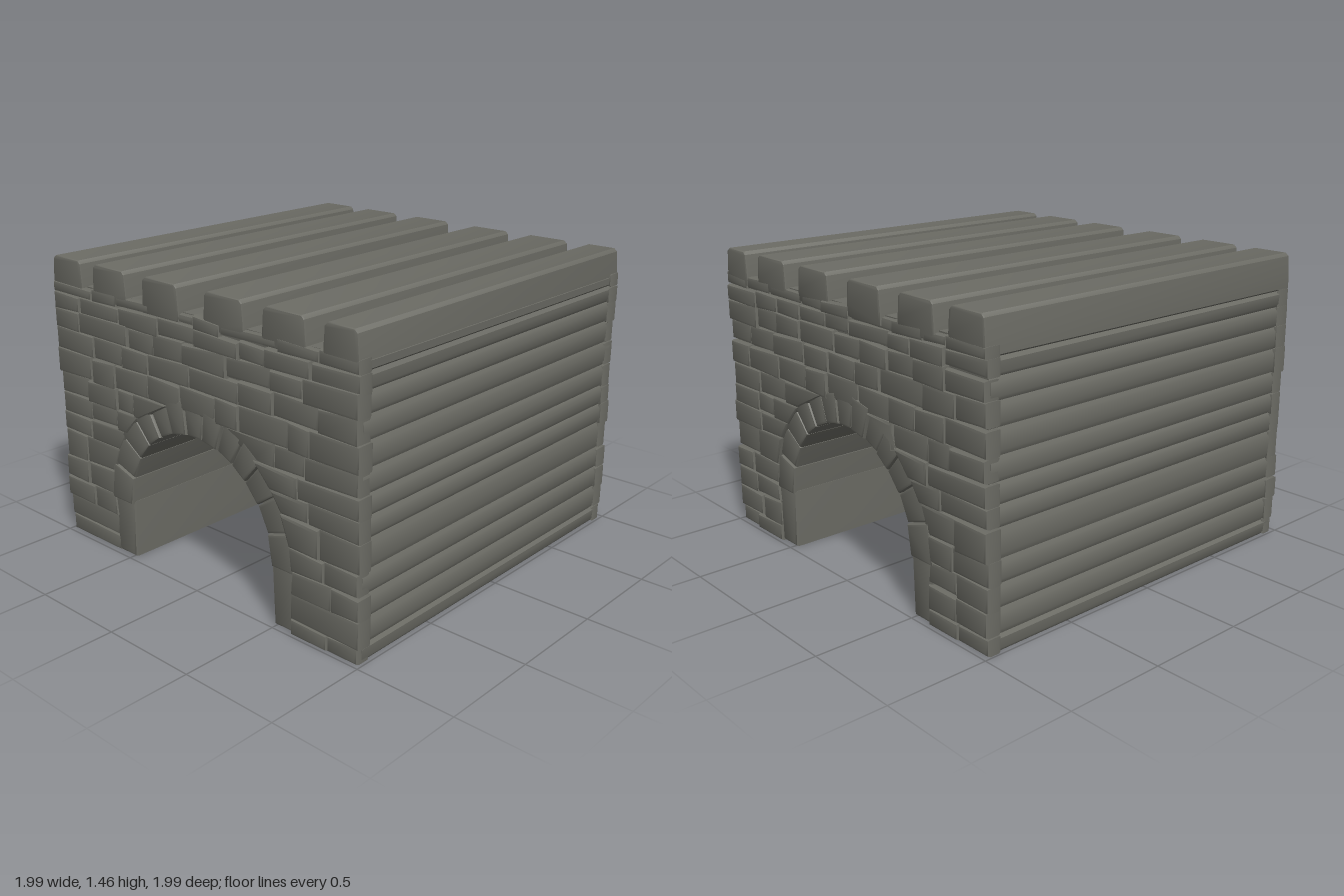
import * as THREE from 'three';
import { toCreasedNormals } from 'three/addons/utils/BufferGeometryUtils.js';

let seed = 11;
const rand = () => (seed = (seed * 16807) % 2147483647) / 2147483647;
const vary = (a) => (rand() - 0.5) * 2 * a;

// Extrude an outline from z0 to z1 with softly worn edges inside the outline
function slab(points, z0, z1, bevel) {
  const shape = new THREE.Shape(points.map(([x, y]) => new THREE.Vector2(x, y)));
  const g = new THREE.ExtrudeGeometry(shape, {
    depth: z1 - z0 - 2 * bevel, steps: 1, curveSegments: 4,
    bevelEnabled: bevel > 0, bevelThickness: bevel, bevelSize: bevel,
    bevelOffset: -bevel, bevelSegments: 2,
  });
  g.translate(0, 0, z0 + bevel);
  return toCreasedNormals(g, 0.7);
}

export function createModel() {
  seed = 11;
  const stone = new THREE.MeshStandardMaterial({ color: 0x6b6b64 });
  stone.name = 'grey stone';
  const model = new THREE.Group();
  model.name = 'stoneGateway';
  const add = (parent, name, geometry) => {
    const m = new THREE.Mesh(geometry, stone);
    m.name = name;
    parent.add(m);
    return m;
  };
  const group = (name) => {
    const g = new THREE.Group();
    g.name = name;
    model.add(g);
    return g;
  };

  const courses = [0, 0.08, 0.2, 0.31, 0.42, 0.56, 0.66, 0.76, 0.87, 0.99, 1.1, 1.2, 1.28, 1.335];
  const springY = 0.3, inner = 0.48, outer = 0.63, archY = 0.285;

  // Wall core: long bulging courses outside, arched passage inside
  const side = [];
  for (let i = 0; i < courses.length - 1; i++) {
    const a = courses[i], h = courses[i + 1] - a;
    side.push([0.974, a], [0.985, a + h * 0.2], [0.987, a + h * 0.8]);
  }
  side.push([0.975, 1.335]);
  const arch = [[-0.5, 0]];
  for (let i = 0; i <= 16; i++) {
    const t = Math.PI * (1 - i / 16);
    arch.push([Math.cos(t) * 0.5, archY + Math.sin(t) * 0.5]);
  }
  arch.push([0.5, 0]);
  const mirrored = side.map(([x, y]) => [-x, y]).reverse();
  add(model, 'wallCore', slab([...arch, ...side, ...mirrored], -0.955, 0.955, 0));

  // Arch stones running the full depth of the passage
  const archStones = group('archStones');
  const angles = [0, 18, 34, 48, 60, 72, 84, 96, 108, 120, 132, 146, 162, 180];
  const polar = (r, deg) => {
    const t = THREE.MathUtils.degToRad(deg);
    return [Math.cos(t) * r, archY + Math.sin(t) * r];
  };
  for (let i = 0; i < angles.length - 1; i++) {
    const a = angles[i] + 0.2, b = angles[i + 1] - 0.2, r = outer + 0.01 + vary(0.015);
    const z = 0.98 + vary(0.006);
    add(archStones, 'archStone', slab([polar(inner, a), polar(r, a), polar(r, b), polar(inner, b)], -z, z, 0.014));
  }
  for (const s of [1, -1]) {
    const p = [[s * 0.485, 0], [s * 0.62, 0], [s * 0.625, springY], [s * 0.475, springY]];
    add(archStones, 'archFoot', slab(s > 0 ? p : p.reverse(), -0.972, 0.972, 0.016));
  }

  // Brick facing on both ends, cut around the arch
  const archEdge = (y) => {
    const d = y - archY;
    return d <= 0 ? 0.6 : d >= 0.61 ? 0 : Math.sqrt(0.61 * 0.61 - d * d);
  };
  for (const face of [1, -1]) {
    const bricks = group(face > 0 ? 'frontBricks' : 'backBricks');
    const layRow = (x0, x1, y0, y1, cutLeft, cutRight) => {
      const n = Math.max(1, Math.round((x1 - x0) / (0.2 + rand() * 0.07)));
      const xs = [x0];
      for (let i = 1; i < n; i++) xs.push(x0 + ((x1 - x0) * (i + vary(0.25))) / n);
      xs.push(x1);
      for (let i = 0; i < n; i++) {
        let bl = xs[i], tl = xs[i], br = xs[i + 1], tr = xs[i + 1];
        if (i === 0 && cutLeft) { bl = archEdge(y0); tl = archEdge(y1); }
        if (i === n - 1 && cutRight) { br = -archEdge(y0); tr = -archEdge(y1); }
        const lo = y0 === 0 ? 0 : y0 + vary(0.008);
        const pts = [[bl, lo], [br, lo + (y0 ? vary(0.008) : 0)], [tr, y1 + vary(0.008)], [tl, y1 + vary(0.008)]];
        const z = 0.976 + rand() * 0.018;
        const g = slab(pts, 0.9, z, 0.016);
        if (face < 0) g.rotateY(Math.PI);
        add(bricks, 'brick', g);
      }
    };
    for (let i = 0; i < courses.length - 1; i++) {
      const y0 = courses[i], y1 = courses[i + 1];
      const e = 0.984 + rand() * 0.014, w = 0.984 + rand() * 0.014;
      const inside = archEdge(y1);
      if (inside > 0) {
        layRow(inside, e, y0, y1, true, false);
        layRow(-w, -inside, y0, y1, false, true);
      } else layRow(-w, e, y0, y1, false, false);
    }
  }

  // Roof ridges: six long raised beams forming the battlements
  const ridges = group('roofRidges');
  const spans = [[-0.988, -0.76], [-0.675, -0.43], [-0.312, -0.063], [0.092, 0.34], [0.45, 0.7], [0.795, 0.985]];
  for (const [a, b] of spans) {
    const pts = [[a, 1.29], [b, 1.29], [b, 1.35], [b - 0.008, 1.445], [b - 0.025, 1.46],
      [a + 0.025, 1.46], [a + 0.008, 1.445], [a, 1.35]];
    const z = 0.98 + vary(0.005);
    add(ridges, 'roofRidge', slab(pts, -z, z, 0.01));
  }
  return model;
}
